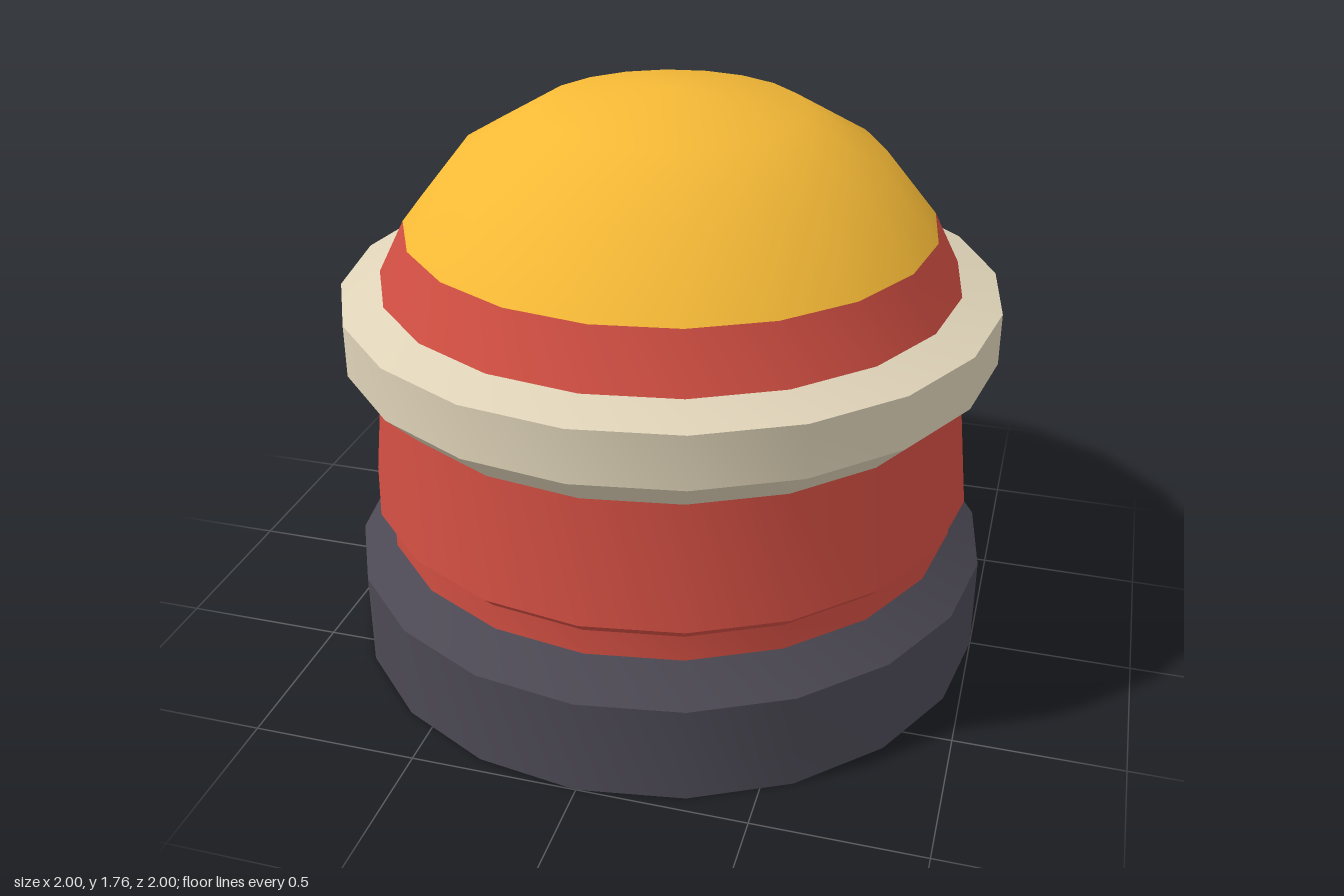
import * as THREE from 'three';
import { toCreasedNormals } from 'three/addons/utils/BufferGeometryUtils.js';

const SIDES = 20;

// Each part is a [radius, height] profile, bottom to top, turned about the y axis.
const PARTS = [
  { name: 'base', color: 0x4c4954, profile: [[0, 0], [1, 0], [1, 0.3], [0.9, 0.4]] },
  { name: 'body', color: 0xd04e42, profile: [[0.9, 0.4], [0.9, 0.48], [0.94, 0.52], [0.9, 0.9]] },
  { name: 'collar', color: 0xdfd3b8, profile: [[0.9, 0.9], [1, 1], [1, 1.16], [0.88, 1.2]] },
  { name: 'domeBand', color: 0xd04e42, profile: [[0.88, 1.2], [0.8, 1.36]] },
  { name: 'dome', color: 0xf5b936, profile: [[0.8, 1.36], [0.64, 1.56], [0.4, 1.7], [0, 1.76]] },
];

function turnedPart({ name, color, profile }) {
  const points = profile.map(([r, y]) => new THREE.Vector2(r, y));
  // Smooth around the sides, sharp at the profile's corners
  const geometry = toCreasedNormals(new THREE.LatheGeometry(points, SIDES), THREE.MathUtils.degToRad(35));
  const mesh = new THREE.Mesh(geometry, new THREE.MeshStandardMaterial({ color }));
  mesh.name = name;
  return mesh;
}

export function createModel() {
  const model = new THREE.Group();
  model.name = 'domedButton';
  for (const part of PARTS) model.add(turnedPart(part));
  return model;
}
